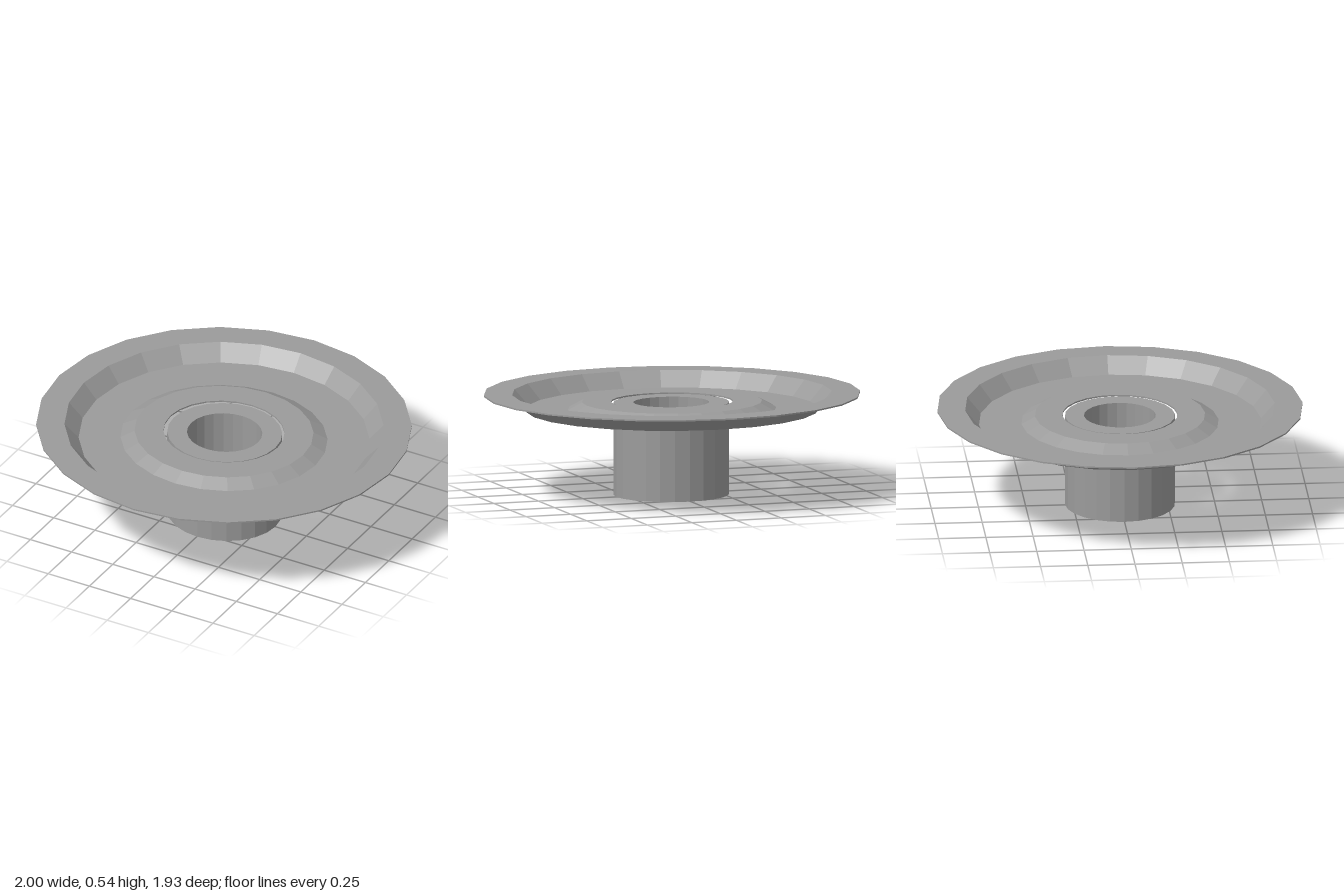
import * as THREE from 'three';

const SIDES = 24;

// Revolves a closed, counter-clockwise profile of [x radius, y, z radius] points into oval rings.
function revolve(name, profile) {
  const closed = [...profile, profile[0]];
  const geometry = new THREE.LatheGeometry(closed.map(([rx, y]) => new THREE.Vector2(rx, y)), SIDES);
  const position = geometry.attributes.position;
  for (let i = 0; i < position.count; i++) {
    const [rx, , rz] = closed[i % closed.length];
    position.setZ(i, position.getZ(i) * rz / rx);
  }
  const material = new THREE.MeshStandardMaterial({ color: 0x9b9b9b, flatShading: true });
  const mesh = new THREE.Mesh(geometry, material);
  mesh.name = name;
  return mesh;
}

export function createModel() {
  const model = new THREE.Group();
  model.name = 'flangedDish';

  // Thin dish: raised centre, sunken floor, sloping wall and flat rim
  const thickness = 0.008;
  const underside = [
    [0.325, 0.488, 0.304], [0.48, 0.488, 0.45], [0.555, 0.448, 0.522],
    [0.775, 0.448, 0.747], [0.85, 0.531, 0.82], [1, 0.531, 0.967],
  ];
  const topside = underside.map(([rx, y, rz]) => [rx, y + thickness, rz]).reverse();
  model.add(revolve('dish', [...underside, ...topside]));

  // Hollow hub, with a narrow gap between it and the dish
  const hub = revolve('hub', [
    [0.202, 0, 0.19], [0.308, 0, 0.291], [0.308, 0.491, 0.291], [0.202, 0.491, 0.19],
  ]);
  hub.position.x = 0.004;
  model.add(hub);

  return model;
}
